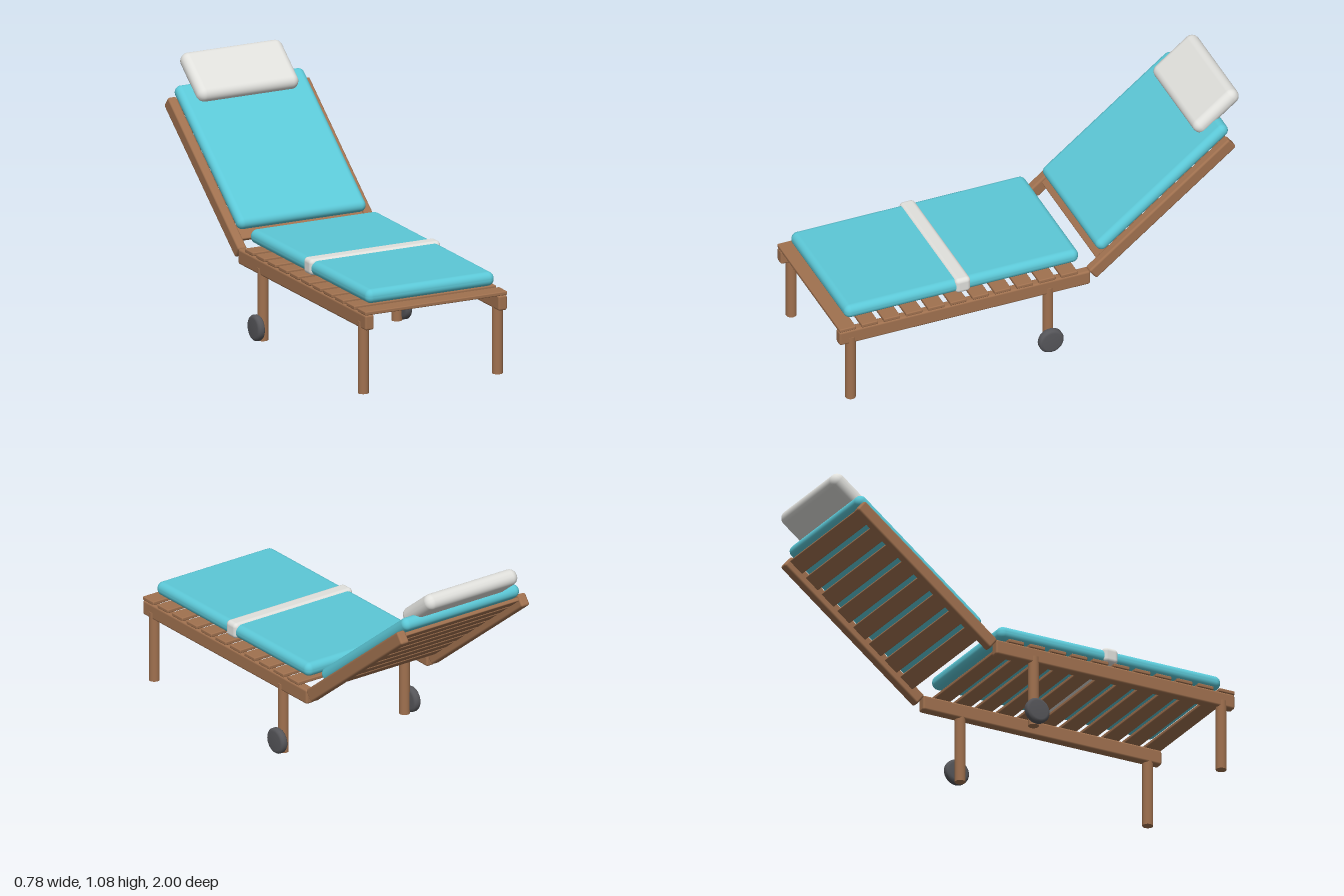
import * as THREE from 'three';
import { RoundedBoxGeometry } from 'three/addons/geometries/RoundedBoxGeometry.js';

const wood = new THREE.MeshStandardMaterial({ color: 0xa0714f });
const fabric = new THREE.MeshStandardMaterial({ color: 0x5cc8d7 });
const white = new THREE.MeshStandardMaterial({ color: 0xe0e0dc });
const rubber = new THREE.MeshStandardMaterial({ color: 0x56565a });
wood.name = 'wood';
fabric.name = 'turquoise fabric';
white.name = 'white fabric';
rubber.name = 'rubber';

// Rounded block given by its size and centre
function block(parent, name, material, size, centre, radius, segments = 2) {
  const mesh = new THREE.Mesh(new RoundedBoxGeometry(...size, segments, radius), material);
  mesh.name = name;
  mesh.position.set(...centre);
  parent.add(mesh);
  return mesh;
}

function createSeat() {
  const seat = new THREE.Group();
  seat.name = 'seat';
  for (const side of [-1, 1]) {
    block(seat, 'seatRail', wood, [0.045, 0.071, 1.22], [side * 0.3375, 0.341, 0.39], 0.01);
  }
  for (let i = 0; i < 11; i++) {
    block(seat, 'seatSlat', wood, [0.72, 0.018, 0.08], [0, 0.385, 0.96 - i * 0.1077], 0.005);
  }
  block(seat, 'seatCushion', fabric, [0.65, 0.065, 1.138], [0, 0.442, 0.386], 0.03, 5);
  block(seat, 'cushionStrap', white, [0.664, 0.075, 0.075], [0, 0.445, 0.385], 0.02, 4);
  return seat;
}

// Reclined back: local -z runs up the back, local y points out of its front
function createBackrest() {
  const back = new THREE.Group();
  back.name = 'backrest';
  back.position.set(0, 0.327, -0.25);
  back.rotation.x = 0.666;
  for (const side of [-1, 1]) {
    block(back, 'backRail', wood, [0.045, 0.062, 0.865], [side * 0.3375, 0.031, -0.4325], 0.01);
  }
  for (let i = 0; i < 8; i++) {
    block(back, 'backSlat', wood, [0.64, 0.018, 0.08], [0, 0.041, -0.1 - i * 0.1025], 0.005);
  }
  block(back, 'backCushion', fabric, [0.65, 0.06, 0.8], [0, 0.082, -0.497], 0.029, 5);
  block(back, 'headPillow', white, [0.51, 0.075, 0.26], [0, 0.125, -0.906], 0.036, 6);
  return back;
}

function createLegs() {
  const legs = new THREE.Group();
  legs.name = 'legs';
  const legGeometry = new THREE.CylinderGeometry(0.0245, 0.0245, 0.337, 24);
  // Wheel profile with softened rims
  const wheelGeometry = new THREE.LatheGeometry([
    [0, -0.019], [0.045, -0.019], [0.055, -0.015], [0.06, -0.008],
    [0.06, 0.008], [0.055, 0.015], [0.045, 0.019], [0, 0.019],
  ].map(([r, y]) => new THREE.Vector2(r, y)), 32);
  for (const side of [-1, 1]) {
    for (const [name, z] of [['frontLeg', 0.94], ['rearLeg', -0.02]]) {
      const leg = new THREE.Mesh(legGeometry, wood);
      leg.name = name;
      leg.position.set(side * 0.3395, 0.1685, z);
      legs.add(leg);
    }
    const wheel = new THREE.Mesh(wheelGeometry, rubber);
    wheel.name = 'wheel';
    wheel.rotation.z = Math.PI / 2;
    wheel.position.set(side * 0.373, 0.061, -0.02);
    legs.add(wheel);
  }
  return legs;
}

export function createModel() {
  const model = new THREE.Group();
  model.name = 'sunLounger';
  model.add(createSeat(), createBackrest(), createLegs());
  return model;
}
